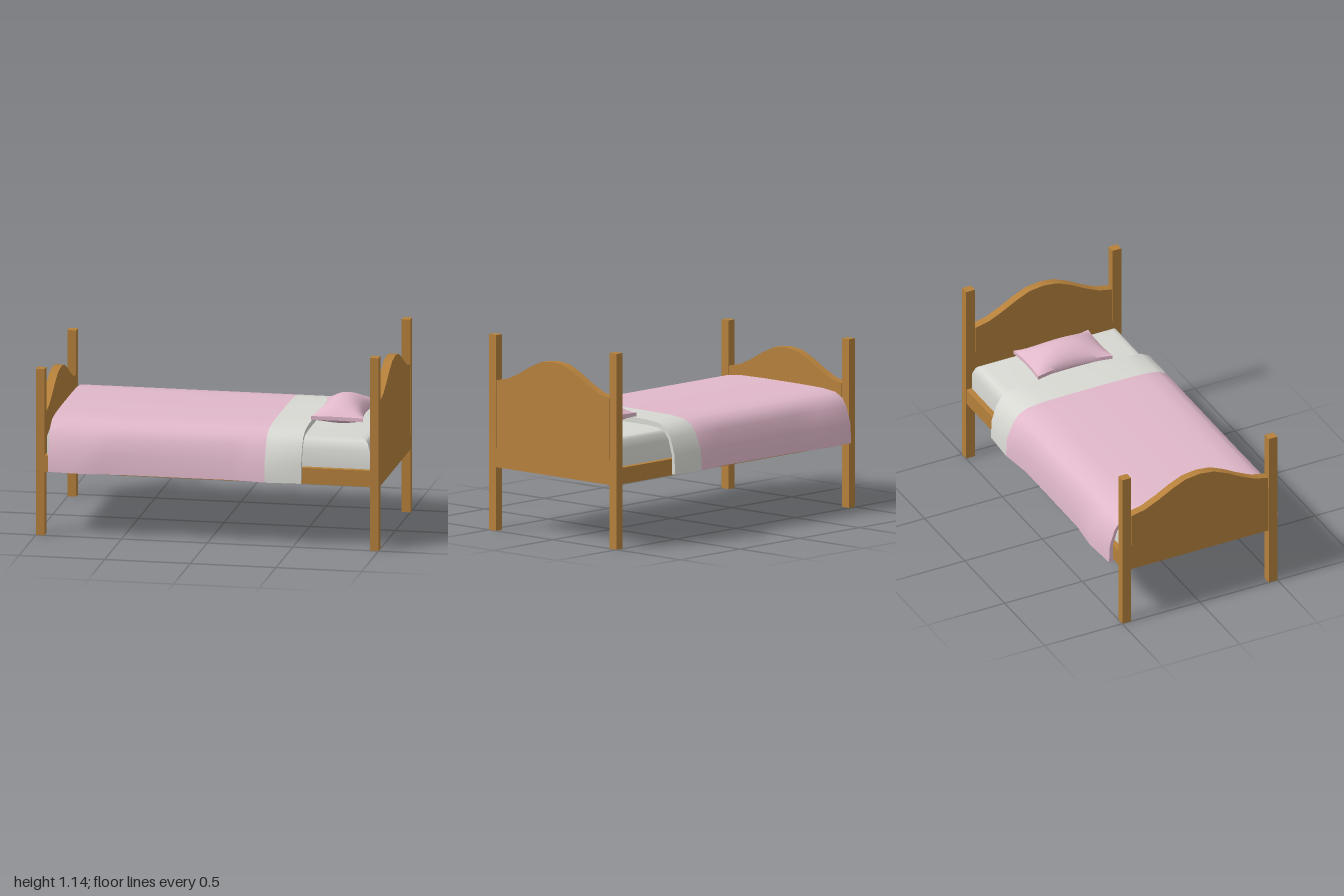
import * as THREE from 'three';
import { mergeGeometries, toCreasedNormals } from 'three/addons/utils/BufferGeometryUtils.js';

const material = (name, color) => {
  const m = new THREE.MeshStandardMaterial({ color });
  m.name = name;
  return m;
};

// Quad grid; the front side faces along (u direction) x (v direction)
function grid(nu, nv, point) {
  const positions = [], index = [];
  for (let i = 0; i <= nu; i++) for (let j = 0; j <= nv; j++) positions.push(...point(i, j));
  for (let i = 0; i < nu; i++) for (let j = 0; j < nv; j++) {
    const a = i * (nv + 1) + j, b = a + nv + 1;
    index.push(a, b, b + 1, a, b + 1, a + 1);
  }
  const g = new THREE.BufferGeometry();
  g.setAttribute('position', new THREE.Float32BufferAttribute(positions, 3));
  g.setIndex(index);
  return g;
}

const smooth = (parts, angle = 0.7) => toCreasedNormals(mergeGeometries(parts), angle);

// Piecewise linear value from [x, value] pairs
function lerpTable(table, x) {
  for (let i = 1; i < table.length; i++) {
    const [x0, v0] = table[i - 1], [x1, v1] = table[i];
    if (x <= x1) return v0 + (v1 - v0) * (x - x0) / (x1 - x0);
  }
  return table[table.length - 1][1];
}

export function createModel() {
  const bed = new THREE.Group();
  bed.name = 'bed';
  const wood = material('wood', 0xb5803b);
  const pink = material('pink cloth', 0xe0b8ca);
  const white = material('white cloth', 0xd8d8d3);

  const add = (name, geometry, mat, x = 0, y = 0, z = 0) => {
    const mesh = new THREE.Mesh(geometry, mat);
    mesh.name = name;
    mesh.position.set(x, y, z);
    bed.add(mesh);
  };

  // Posts and curved end boards
  const crest = [[0.44, 0], [0.355, 0.018], [0.265, 0.06], [0.175, 0.11], [0.09, 0.147], [0, 0.158]];
  function boardEnd(label, x, postHeight, bottom) {
    for (const side of [-1, 1])
      add(label + 'Post', new THREE.BoxGeometry(0.05, postHeight, 0.056), wood, x, postHeight / 2, side * 0.472);
    const edge = postHeight - 0.262;
    const shape = new THREE.Shape();
    shape.moveTo(-0.444, bottom);
    shape.lineTo(0.444, bottom);
    crest.forEach(([z, h]) => shape.lineTo(z, edge + h));
    crest.slice(0, -1).reverse().forEach(([z, h]) => shape.lineTo(-z, edge + h));
    const g = new THREE.ExtrudeGeometry(shape, { depth: 0.05, bevelEnabled: false });
    g.translate(0, 0, -0.025);
    g.rotateY(Math.PI / 2);
    add(label + 'Board', toCreasedNormals(g, 0.6), wood, x);
  }
  boardEnd('head', 0.975, 1.137, 0.37);
  boardEnd('foot', -0.975, 0.98, 0.357);

  // Base with side rails
  add('bedBase', new THREE.BoxGeometry(1.9, 0.095, 0.998), wood, 0, 0.4225, 0);

  // Mattress: stacked rectangles drawn in towards the top
  const rings = [[0, 0.465], [0, 0.575], [0.015, 0.618], [0.03, 0.632], [0.06, 0.642], [0.45, 0.642]];
  const corners = [[1, 1], [1, -1], [-1, -1], [-1, 1], [1, 1]];
  const mattress = grid(rings.length - 1, 4, (i, j) => {
    const [inset, y] = rings[rings.length - 1 - i];
    return [corners[j][0] * (0.943 - inset), y, corners[j][1] * (0.465 - inset)];
  });
  add('mattress', smooth([mattress], 0.75), white);

  // Blanket: draped cross-section, flared in waves along its length
  const half = [[0.53, 0.386], [0.525, 0.5], [0.505, 0.595], [0.475, 0.642], [0.42, 0.67], [0.32, 0.681], [0.15, 0.684]];
  const halfInner = [[0.506, 0.384], [0.504, 0.5], [0.488, 0.585], [0.46, 0.625], [0.41, 0.645], [0.32, 0.65], [0.15, 0.65]];
  const mirrored = h => [...h, ...h.map(([z, y]) => [-z, y]).reverse()];
  const outer = mirrored(half), inner = mirrored(halfInner);
  const loop = [...outer, ...inner.slice().reverse(), outer[0]];
  const flare = [[-0.92, 0.014], [-0.7, 0.026], [-0.5, 0.004], [0.14, 0.002], [0.35, 0.026], [0.556, 0.014]];
  const drape = (x, [z, y]) => {
    const drop = Math.min(1, Math.max(0, (0.62 - y) / 0.12));
    return [x, y, z + Math.sign(z) * drop * lerpTable(flare, x)];
  };
  function blanketPart(name, xs, mat) {
    const n = outer.length - 1, last = xs[xs.length - 1];
    add(name, smooth([
      grid(xs.length - 1, loop.length - 1, (i, j) => drape(xs[i], loop[j])),
      grid(1, n, (i, j) => drape(last, (i ? inner : outer)[j])),
      grid(1, n, (i, j) => drape(xs[0], (i ? outer : inner)[j])),
    ]), mat);
  }
  blanketPart('blanket', [-0.92, -0.8, -0.7, -0.6, -0.5, -0.2, 0.14, 0.25, 0.345], pink);
  blanketPart('foldedSheet', [0.345, 0.45, 0.556], white);

  // Pillow: pinched outline, domed top and bottom, thin seam between
  const N = 16;
  const pillow = (s, t, y) => [
    0.707 + s * 0.153 * (1 - 0.2 * (1 - t * t)), y, -t * 0.24 * (1 - 0.04 * (1 - s * s)),
  ];
  const dome = (base, height) => (i, j) => {
    const s = 2 * i / N - 1, t = 2 * j / N - 1;
    return pillow(s, t, base + height * Math.pow(Math.max(0, (1 - s * s) * (1 - t * t)), 0.75));
  };
  const under = dome(0.69, -0.05);
  const seam = grid(1, 4 * N, (i, j) => {
    const k = 2 * (j % N) / N - 1, side = Math.floor(j / N) % 4;
    const [s, t] = [[1, k], [-k, 1], [-1, -k], [k, -1]][side];
    return pillow(s, t, i ? 0.69 : 0.712);
  });
  add('pillow', smooth([grid(N, N, dome(0.712, 0.08)), grid(N, N, (i, j) => under(j, i)), seam]), pink);

  return bed;
}
